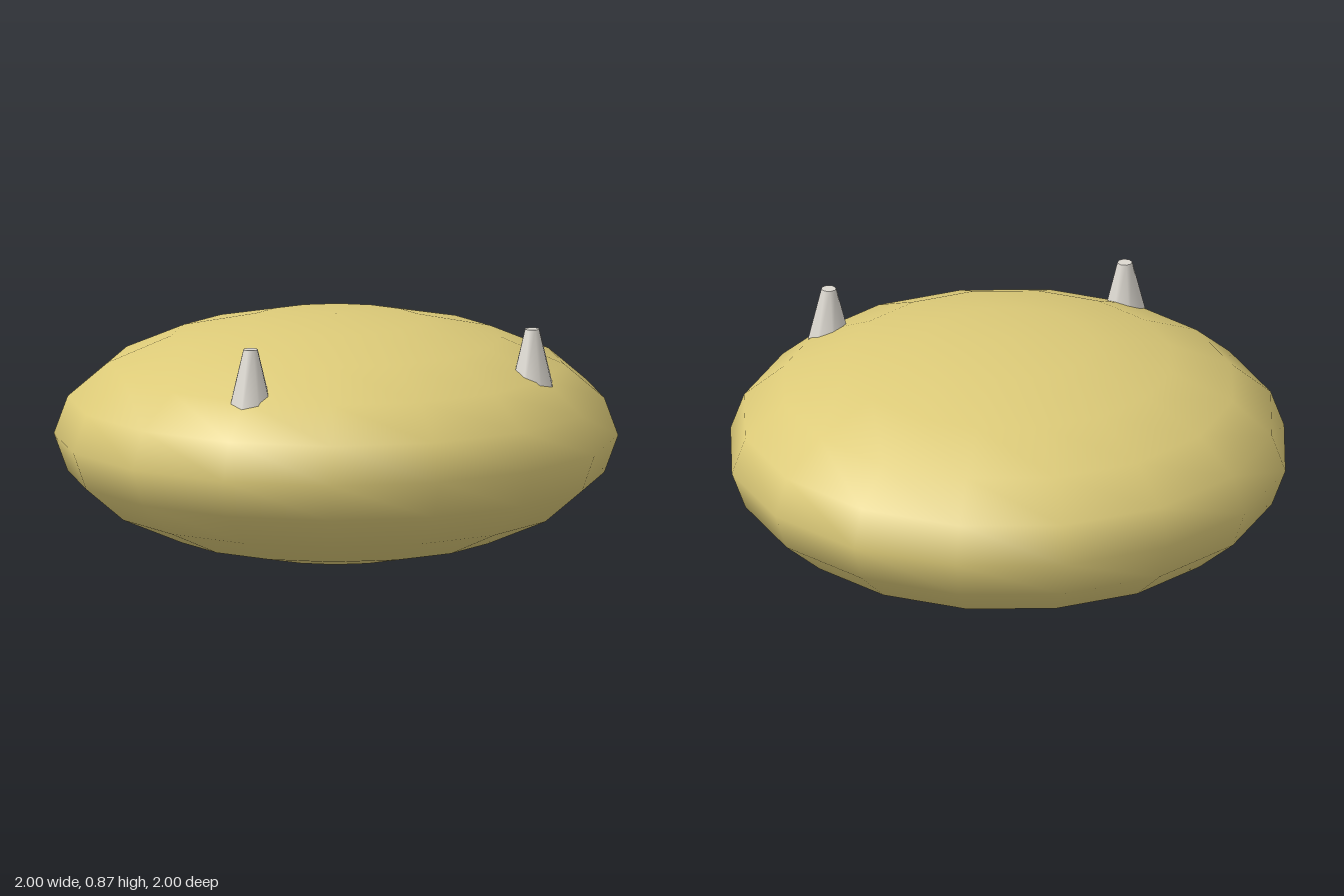
import * as THREE from 'three';

export function createModel() {
  const model = new THREE.Group();
  const shell = new THREE.MeshStandardMaterial({ name: 'sandYellow', color: 0xdcca78 });
  const bone = new THREE.MeshStandardMaterial({ name: 'boneWhite', color: 0xdcd8d0 });

  // flattened body
  const halfHeight = 0.434;
  const bodyGeometry = new THREE.SphereGeometry(1, 16, 10);
  bodyGeometry.scale(1, halfHeight, 1);
  const body = new THREE.Mesh(bodyGeometry, shell);
  body.name = 'body';
  body.position.y = halfHeight;
  model.add(body);

  // pair of blunt horns, rooted inside the front of the body
  const top = 0.87, bottom = 0.6;
  const hornGeometry = new THREE.CylinderGeometry(0.027, 0.095, top - bottom, 8);
  for (const [name, side] of [['leftHorn', 1], ['rightHorn', -1]]) {
    const horn = new THREE.Mesh(hornGeometry, bone);
    horn.name = name;
    horn.position.set(side * 0.536, (top + bottom) / 2, 0.536);
    model.add(horn);
  }
  return model;
}
